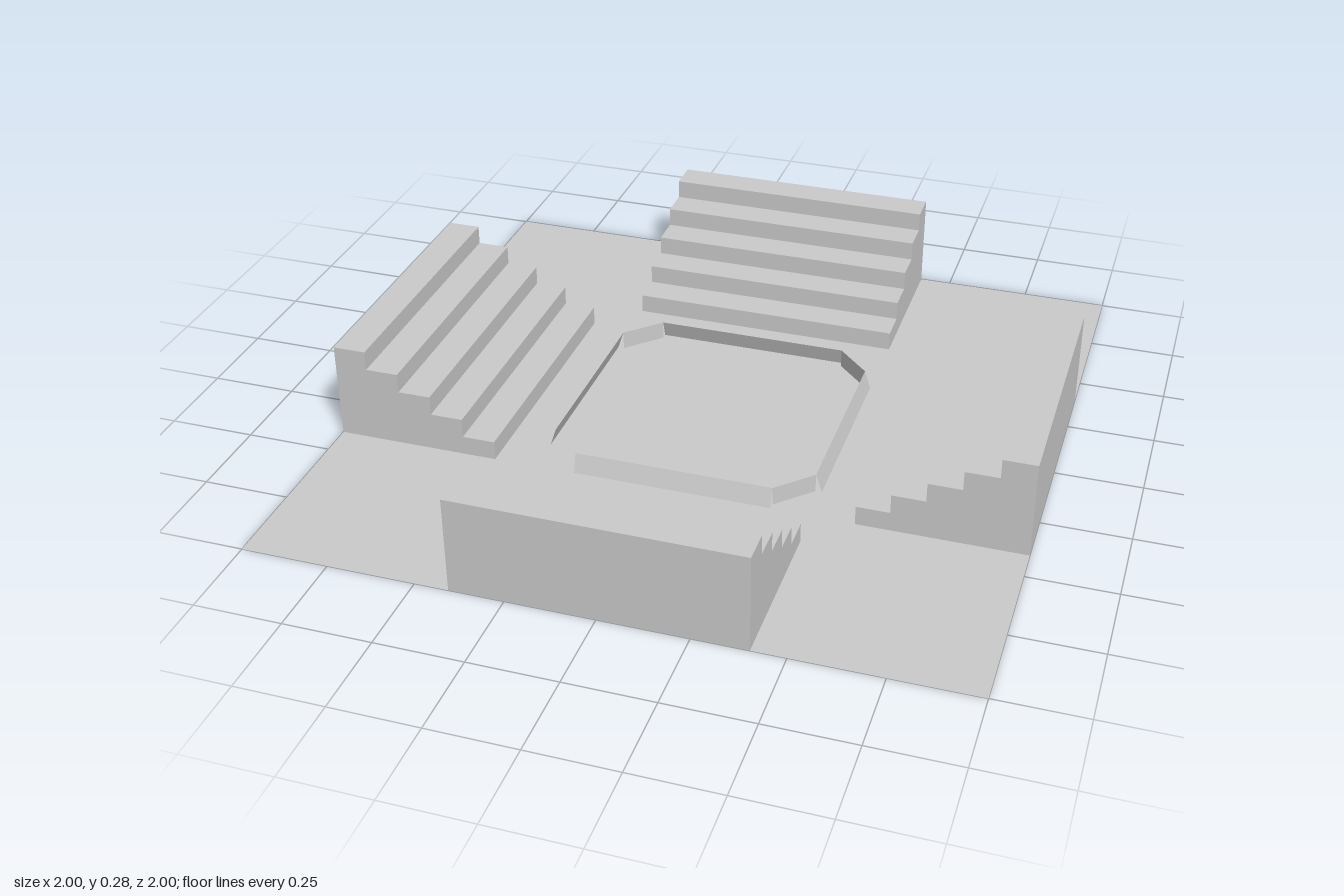
import * as THREE from 'three';

const solid = new THREE.MeshStandardMaterial({ color: 0xcccccc, flatShading: true });
const sheet = new THREE.MeshStandardMaterial({ color: 0xcccccc, flatShading: true, side: THREE.DoubleSide });

const STEPS = 5, INNER = 0.525, HEIGHT = 0.285, WIDTH = 0.81;
const WALL = { height: 0.055, half: 0.287, base: 0.402, top: 0.384 };

// Stepped profile rising outwards, extruded along the width of the stand
function standGeometry() {
  const run = (1 - INNER) / STEPS, rise = HEIGHT / STEPS;
  const profile = new THREE.Shape();
  profile.moveTo(INNER, 0);
  for (let i = 0; i < STEPS; i++) {
    profile.lineTo(INNER + i * run, (i + 1) * rise);
    profile.lineTo(INNER + (i + 1) * run, (i + 1) * rise);
  }
  profile.lineTo(1, 0);
  const geometry = new THREE.ExtrudeGeometry(profile, { depth: WIDTH, bevelEnabled: false });
  return geometry.translate(0, 0, -WIDTH / 2);
}

// Four-cornered thin panel: bottom start, bottom end, top end, top start
function panelGeometry(a, b, c, d) {
  const geometry = new THREE.BufferGeometry();
  geometry.setAttribute('position', new THREE.Float32BufferAttribute([...a, ...b, ...c, ...d], 3));
  geometry.setIndex([0, 1, 2, 0, 2, 3]);
  geometry.computeVertexNormals();
  return geometry;
}

export function createModel() {
  const model = new THREE.Group();
  model.name = 'arena';

  const add = (name, geometry, material, angle = 0) => {
    const mesh = new THREE.Mesh(geometry, material);
    mesh.name = name;
    mesh.rotation.y = angle;
    model.add(mesh);
  };

  // Ground sheet
  add('floor', new THREE.PlaneGeometry(2, 2).rotateX(-Math.PI / 2), sheet);

  const { height: h, half: s, base, top } = WALL;
  const stand = standGeometry();
  // Side panel on +x, leaning inwards
  const side = panelGeometry([base, 0, s], [base, 0, -s], [top, h, -s], [top, h, s]);
  // Upright diagonal panel on the +x +z corner
  const corner = panelGeometry([s, 0, top], [top, 0, s], [top, h, s], [s, h, top]);

  ['right', 'back', 'left', 'front'].forEach((_, i) => {
    const angle = i * Math.PI / 2;
    const place = ['left', 'back', 'right', 'front'][i];
    add(place + 'Stand', stand, solid, angle);
    add(place + 'Barrier', side, sheet, angle);
    // The -x +z corner stays open as the entrance
    if (i !== 3) add('cornerBarrier' + (i + 1), corner, sheet, angle);
  });

  return model;
}
